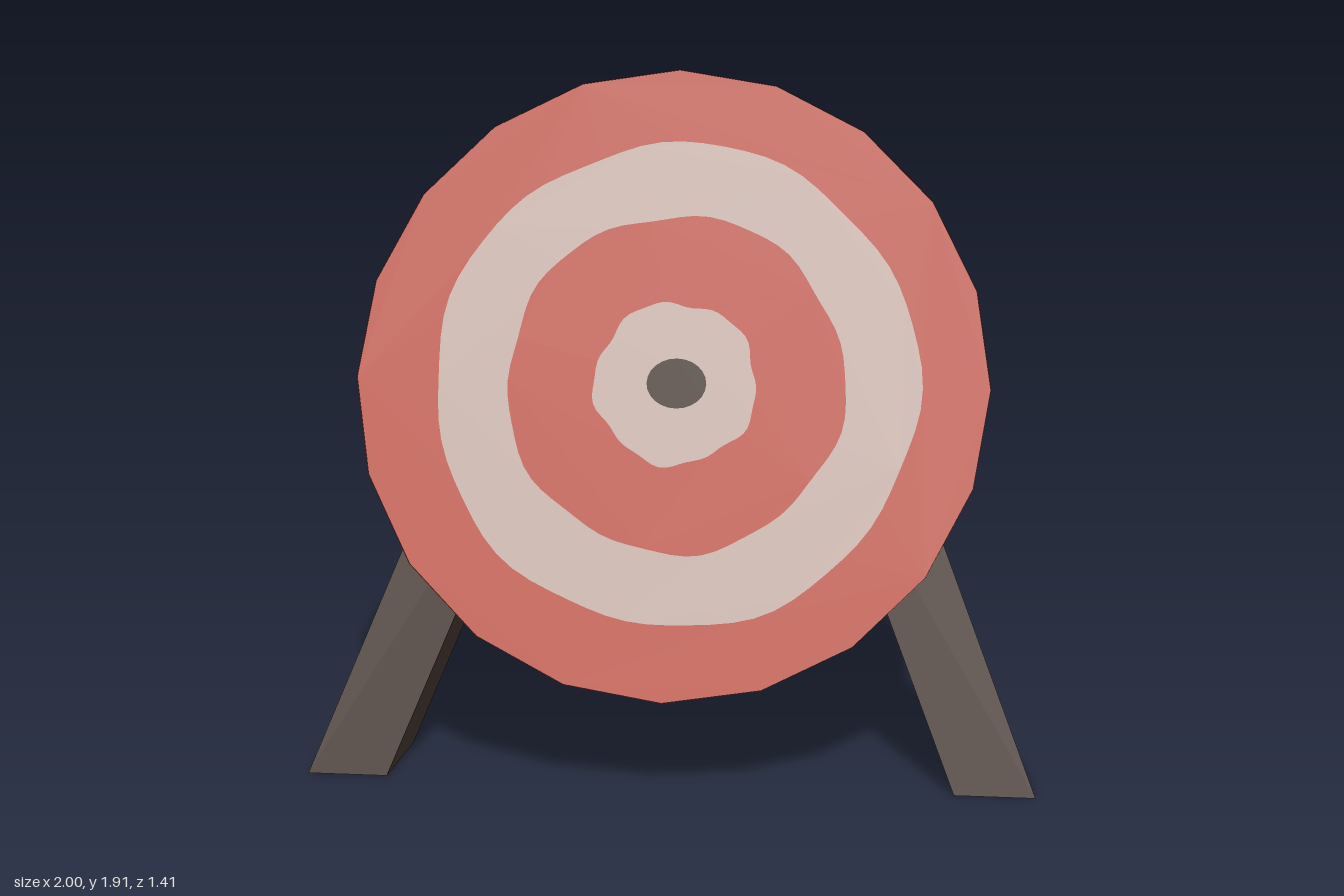
import * as THREE from 'three';
import { ConvexGeometry } from 'three/addons/geometries/ConvexGeometry.js';

const RADIUS = 0.848, DEPTH = 0.263, SIDES = 20, TILT = THREE.MathUtils.degToRad(20);

function material(name, color, extra = {}) {
  const m = new THREE.MeshStandardMaterial({ color, ...extra });
  m.name = name;
  return m;
}

function add(parent, name, geometry, mat) {
  const mesh = new THREE.Mesh(geometry, mat);
  mesh.name = name;
  parent.add(mesh);
  return mesh;
}

// Radius of the 20-sided board at an angle
function boardRadius(a) {
  const step = (2 * Math.PI) / SIDES;
  const t = ((a % step) + step) % step;
  return (RADIUS * Math.cos(step / 2)) / Math.cos(t - step / 2);
}

// Hand-painted, slightly uneven circle
function paintedCircle(r, seed) {
  const pts = [];
  for (let i = 0; i < 72; i++) {
    const a = (i / 72) * Math.PI * 2;
    const k = r + 0.007 * Math.sin(5 * a + seed) + 0.004 * Math.sin(11 * a + seed * 2);
    pts.push(new THREE.Vector2(0.012 + k * Math.cos(a), k * Math.sin(a)));
  }
  return pts;
}

// Red paint running over the edge by an uneven amount
function paintLip() {
  const n = 120, pos = [], index = [];
  for (let i = 0; i <= n; i++) {
    const a = (i / n) * Math.PI * 2;
    const r = boardRadius(a) + 0.0015;
    const d = 0.028 + 0.016 * Math.sin(a) + 0.01 * Math.sin(7 * a) + 0.006 * Math.sin(13 * a + 1);
    const x = r * Math.cos(a), y = r * Math.sin(a);
    pos.push(x, y, DEPTH, x, y, DEPTH - Math.max(d, 0.002));
    if (i < n) {
      const k = i * 2;
      index.push(k, k + 1, k + 2, k + 1, k + 3, k + 2);
    }
  }
  const g = new THREE.BufferGeometry();
  g.setAttribute('position', new THREE.Float32BufferAttribute(pos, 3));
  g.setIndex(index);
  g.computeVertexNormals();
  return g;
}

export function createModel() {
  const wood = material('dark wood', 0x4a3c34);
  const woodFlat = material('dark wood', 0x4a3c34, { flatShading: true });
  const red = material('red paint', 0xc25d50, { side: THREE.DoubleSide });
  const white = material('off-white paint', 0xc9b4ac);

  const model = new THREE.Group();
  model.name = 'archeryTarget';

  // Leaning frame: origin at the centre of the board's back, +z out of its face
  const leaning = new THREE.Group();
  leaning.name = 'leaningBoard';
  leaning.position.set(0, 1.02, 0.169);
  leaning.rotation.x = -TILT;
  model.add(leaning);

  // Board rim and back
  const rim = new THREE.CylinderGeometry(RADIUS, RADIUS, DEPTH, SIDES, 1, true);
  rim.rotateX(Math.PI / 2).translate(0, 0, DEPTH / 2);
  add(leaning, 'boardRim', rim, wood);
  add(leaning, 'boardBack', new THREE.CircleGeometry(RADIUS, SIDES).rotateY(Math.PI), wood);
  add(leaning, 'paintLip', paintLip(), red);

  // Painted rings, outside to inside
  const edge = [];
  for (let i = 0; i < SIDES; i++) {
    const a = (i / SIDES) * Math.PI * 2;
    edge.push(new THREE.Vector2(RADIUS * Math.cos(a), RADIUS * Math.sin(a)));
  }
  const outlines = [edge, paintedCircle(0.648, 1), paintedCircle(0.452, 2.3), paintedCircle(0.217, 4)];
  const bull = [];
  for (let i = 0; i < 24; i++) {
    const a = (i / 24) * Math.PI * 2;
    bull.push(new THREE.Vector2(0.015 + 0.08 * Math.cos(a), 0.067 * Math.sin(a)));
  }
  outlines.push(bull);
  const paints = [red, white, red, white, wood];
  outlines.forEach((pts, i) => {
    const shape = new THREE.Shape(pts);
    if (outlines[i + 1]) shape.holes.push(new THREE.Path(outlines[i + 1]));
    const g = new THREE.ShapeGeometry(shape).translate(0, 0, DEPTH);
    add(leaning, i === 4 ? 'bullseye' : 'ring' + (i + 1), g, paints[i]);
  });

  // Crossbar and upright post behind the board
  add(leaning, 'crossbar', new THREE.BoxGeometry(1.0, 0.234, 0.195), woodFlat).position.set(0, -0.153, -0.0925);
  add(leaning, 'post', new THREE.BoxGeometry(0.22, 0.518, 0.188), woodFlat).position.set(0.03, 0.159, -0.086);

  // Splayed side legs, cut flat at the ground
  leaning.updateMatrixWorld(true);
  for (const side of [-1, 1]) {
    const pts = [[0.78, 0.53], [1, 0.53], [0.975, 0.3], [0.75, 0.3]]
      .map(([x, z]) => new THREE.Vector3(side * x, 0, z));
    for (const z of [0, -0.193]) {
      for (const [x, y] of [[0.56, 0.06], [0.36, -0.015]]) {
        pts.push(new THREE.Vector3(side * x, y, z).applyMatrix4(leaning.matrix));
      }
    }
    add(model, side > 0 ? 'leftLeg' : 'rightLeg', new ConvexGeometry(pts), woodFlat);
  }

  // Back leg: tapered diamond section sheared towards the post
  const back = new THREE.CylinderGeometry(0.1, 0.154, 1.04, 4).translate(0, 0.52, 0);
  const p = back.attributes.position;
  for (let i = 0; i < p.count; i++) {
    p.setXYZ(i, p.getX(i) + 0.043, p.getY(i), p.getZ(i) - 0.552 + p.getY(i) * 0.597);
  }
  back.computeVertexNormals();
  add(model, 'backLeg', back, woodFlat);

  return model;
}
